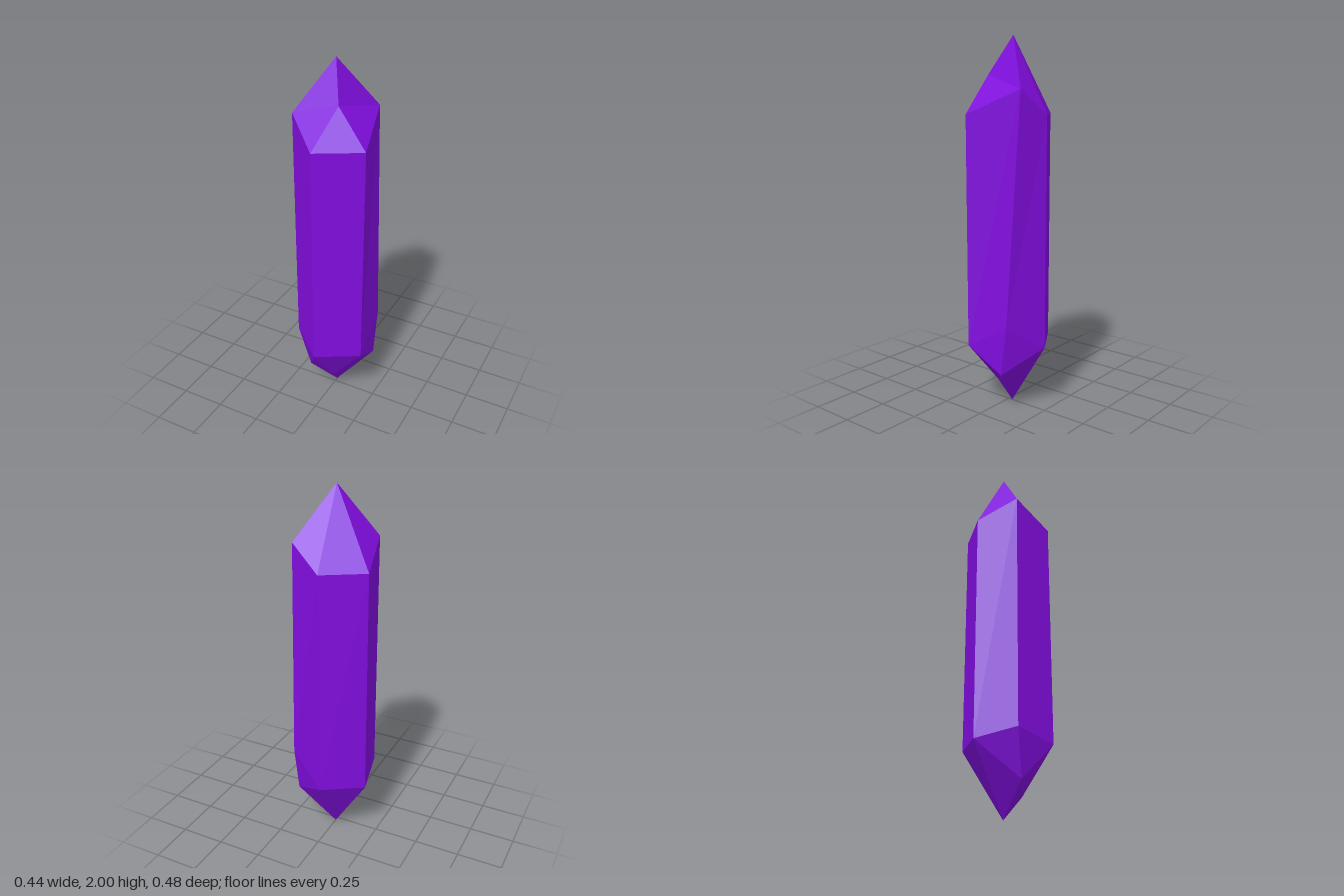
import * as THREE from 'three';

// Corners of the crystal: a six-sided ring (f, fr, r, b, l, fl), upper case = top
const POINTS = {
  // upper ring
  F: [-0.01, 1.6, 0.238], FR: [0.221, 1.6, 0.106], R: [0.15, 1.73, -0.195],
  B: [-0.01, 1.6, -0.24], L: [-0.223, 1.6, -0.108], FL: [-0.184, 1.73, 0.106],
  // lower ring
  f: [-0.01, 0.355, 0.238], fr: [0.217, 0.355, 0.107], r: [0.198, 0.23, -0.105],
  b: [-0.01, 0.355, -0.24], l: [-0.223, 0.355, -0.108], fl: [-0.184, 0.41, 0.106],
  // tips, chipped corners and the bend in the worn edge
  apex: [-0.008, 2, -0.023], chip: [0.063, 1.8, 0.087],
  foot: [0, 0, -0.025], chipA: [-0.11, 0.17, 0.1], chipB: [0.02, 0.11, 0.065],
  bend: [0.202, 0.5, -0.145],
};

// Each facet is a fan of corner names, counter-clockwise from outside
function facets(name, list, material) {
  const positions = [];
  for (const facet of list) {
    const c = facet.split(' ').map((key) => POINTS[key]);
    for (let i = 1; i < c.length - 1; i++) positions.push(...c[0], ...c[i], ...c[i + 1]);
  }
  const geometry = new THREE.BufferGeometry();
  geometry.setAttribute('position', new THREE.Float32BufferAttribute(positions, 3));
  geometry.computeVertexNormals();
  const mesh = new THREE.Mesh(geometry, material);
  mesh.name = name;
  return mesh;
}

export function createModel() {
  const purple = new THREE.MeshStandardMaterial({ color: 0x800ddd, flatShading: true });
  purple.name = 'crystal purple';

  const crystal = new THREE.Group();
  crystal.name = 'crystal';
  crystal.add(
    // long prism sides
    facets('shaft', [
      'f fr FR F', 'fr r bend R FR', 'bend b B R', 'r b bend',
      'b l L B', 'l fl FL L', 'fl f F FL',
    ], purple),
    // pointed top with a chipped front corner
    facets('upperTip', [
      'F FR chip', 'FR R chip', 'R apex chip', 'R B apex',
      'B L apex', 'L FL apex', 'FL chip apex', 'FL F chip',
    ], purple),
    // pointed bottom with two chipped corners
    facets('lowerTip', [
      'fr f chipB', 'r fr chipB', 'r chipB foot', 'chipB f chipA', 'f fl chipA',
      'fl l chipA', 'chipA l foot', 'l b foot', 'b r foot', 'chipB chipA foot',
    ], purple),
  );
  return crystal;
}
